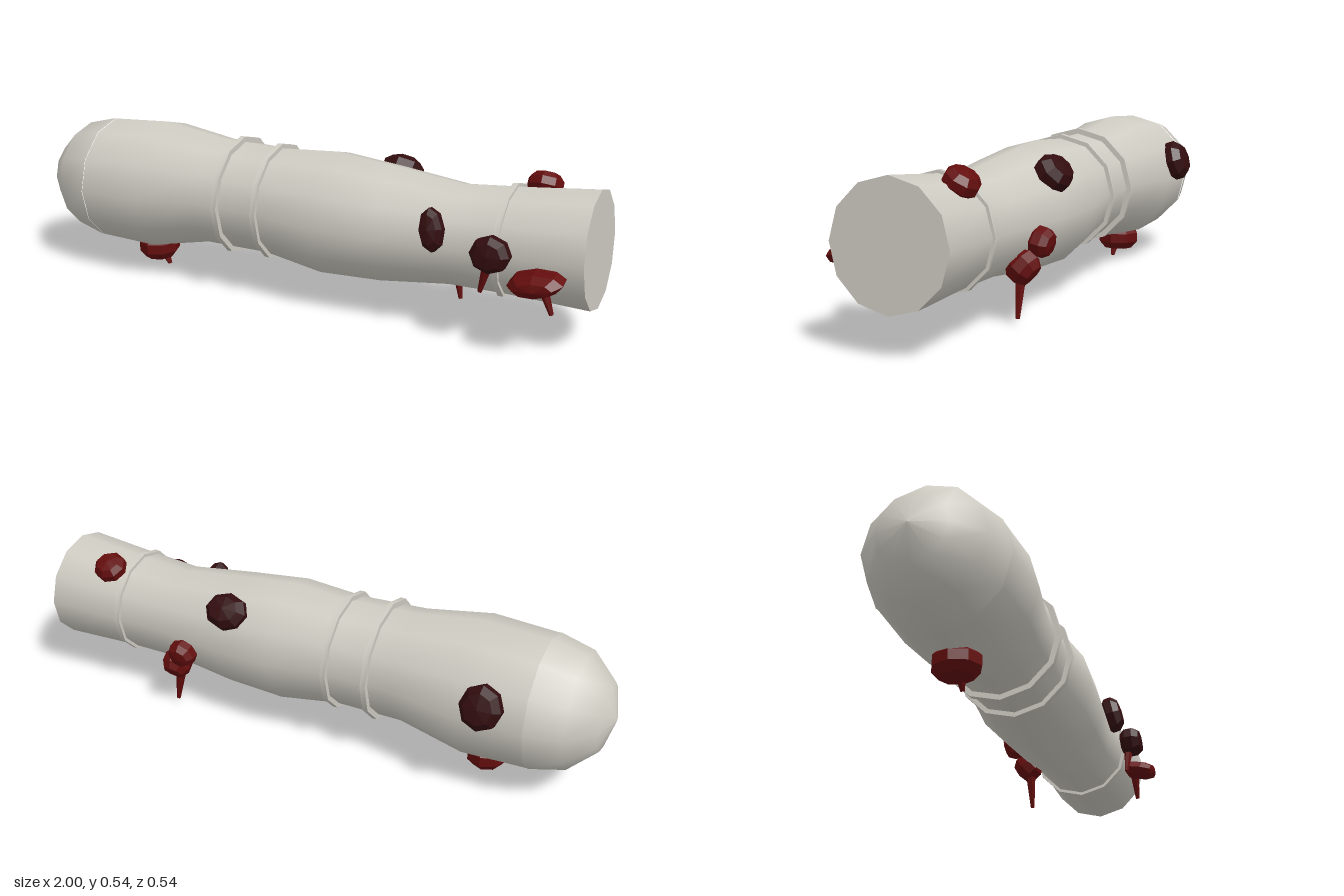
import * as THREE from 'three';
import { toCreasedNormals } from 'three/addons/utils/BufferGeometryUtils.js';

const mat = (name, color, flatShading = false) => {
  const m = new THREE.MeshStandardMaterial({ color, flatShading });
  m.name = name;
  return m;
};

// Stations along the shaft: [x, centre height, radius]
const STATIONS = [
  [-0.77, 0.305, 0.217], [-0.55, 0.308, 0.227], [-0.33, 0.315, 0.187], [-0.1, 0.31, 0.183],
  [0.11, 0.3, 0.207], [0.32, 0.293, 0.192], [0.55, 0.293, 0.164], [0.74, 0.302, 0.171], [0.992, 0.311, 0.187],
];

function centreY(x) {
  for (let i = 1; i < STATIONS.length; i++) {
    const [x0, y0] = STATIONS[i - 1], [x1, y1] = STATIONS[i];
    if (x <= x1) return THREE.MathUtils.lerp(y0, y1, Math.max(0, (x - x0) / (x1 - x0)));
  }
  return STATIONS.at(-1)[1];
}

// Moves geometry lying along the x axis onto the gently curved centre line
function bend(geo) {
  const p = geo.attributes.position;
  for (let i = 0; i < p.count; i++) {
    const x = p.getX(i), y = p.getY(i);
    p.setXYZ(i, x > 0.98 ? x - 0.04 * y : x, y + centreY(x), p.getZ(i) + 0.006);
  }
  return geo;
}

// Twelve-sided turned form along x; profile points are [radius, x]
function turned(profile) {
  const points = profile.map(([r, x]) => new THREE.Vector2(r, x));
  return bend(new THREE.LatheGeometry(points, 12).rotateZ(-Math.PI / 2));
}

export function createModel() {
  const model = new THREE.Group();
  model.name = 'stainedShaft';
  const pale = mat('paleGrey', 0xcfccc3);
  const red = mat('bloodRed', 0x640d0d, true);
  const dark = mat('driedRed', 0x330d0f, true);

  const add = (name, geo, material) => {
    const mesh = new THREE.Mesh(geo, material);
    mesh.name = name;
    model.add(mesh);
    return mesh;
  };

  // Shaft, rounded tip and flat end
  add('shaft', turned(STATIONS.map(([x, , r]) => [r, x])), pale);
  const dome = [0, 1, 2, 3].map((i) => {
    const a = (i * Math.PI) / 6;
    return [0.219 * Math.sin(a), -0.77 - 0.23 * Math.cos(a)];
  });
  add('roundedTip', turned(dome), pale);
  const cap = new THREE.CircleGeometry(0.187, 12).rotateY(Math.PI / 2).translate(0.992, 0, 0);
  add('endCap', bend(cap), pale);

  // Raised rings
  for (const [x, r] of [[-0.24, 0.204], [-0.095, 0.199], [0.722, 0.181]]) {
    const ring = turned([[r - 0.03, x - 0.009], [r, x - 0.009], [r, x + 0.009], [r - 0.03, x + 0.009]]);
    add('ring', toCreasedNormals(ring, 0.6), pale);
  }

  // Faceted clots: position, radii (along x, outward, across), turn around the shaft, tilt
  const blobProfile = [[0, -1], [0.7, -0.85], [1, -0.4], [1, 0.3], [0.7, 0.85], [0, 1]]
    .map(([r, y]) => new THREE.Vector2(r, y));
  const clots = [
    ['underClot', red, [-0.605, 0.067, 0], [0.07, 0.048, 0.078], 3.14, 0],
    ['backTipClot', dark, [-0.64, 0.37, -0.217], [0.067, 0.045, 0.072], -1.25, 0],
    ['topBackClot', dark, [0.285, 0.428, -0.142], [0.075, 0.045, 0.062], -0.85, 0],
    ['endTopClot', red, [0.785, 0.462, -0.1], [0.057, 0.036, 0.055], -0.55, 0],
    ['backUpperClot', red, [0.45, 0.243, -0.178], [0.05, 0.038, 0.048], -1.8, 0],
    ['backLowerClot', red, [0.5, 0.172, -0.142], [0.05, 0.045, 0.055], -2.25, 0],
    ['frontSmallClot', dark, [0.522, 0.354, 0.183], [0.038, 0.038, 0.068], 1.35, 0.18],
    ['frontMiddleClot', dark, [0.718, 0.315, 0.208], [0.062, 0.042, 0.057], 1.5, 0],
    ['frontEndClot', red, [0.86, 0.25, 0.205], [0.085, 0.062, 0.034], 1.75, 0.16],
  ];
  for (const [name, material, pos, radii, turn, tilt] of clots) {
    const mesh = add(name, new THREE.LatheGeometry(blobProfile, 8), material);
    mesh.position.set(...pos);
    mesh.scale.set(...radii);
    mesh.rotation.set(turn, 0, tilt, 'ZXY');
  }

  // Tapered drips running from a start to an end point
  const drips = [
    ['underDrip', [-0.585, 0.05, 0.003], [-0.56, 0.002, 0.003]],
    ['backDrip', [0.493, 0.14, -0.13], [0.514, 0.018, -0.13]],
    ['middleDrip', [0.712, 0.29, 0.2], [0.686, 0.187, 0.192]],
    ['endDrip', [0.868, 0.25, 0.183], [0.906, 0.15, 0.183]],
  ];
  const down = new THREE.Vector3(0, -1, 0);
  for (const [name, from, to] of drips) {
    const a = new THREE.Vector3(...from), b = new THREE.Vector3(...to);
    const mesh = add(name, new THREE.CylinderGeometry(0.018, 0.007, a.distanceTo(b), 6), red);
    mesh.position.copy(a).add(b).multiplyScalar(0.5);
    mesh.quaternion.setFromUnitVectors(down, b.sub(a).normalize());
  }
  return model;
}
